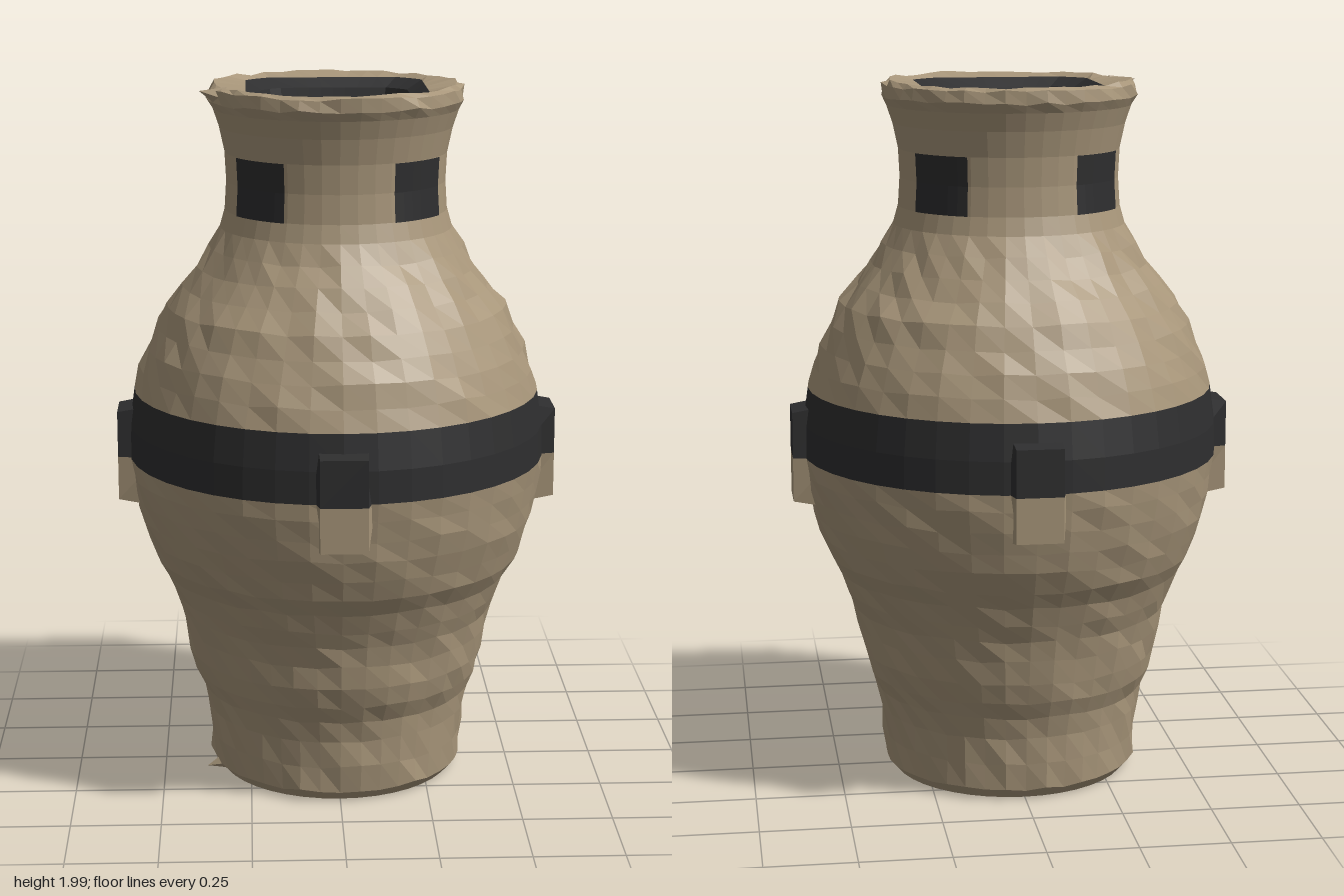
import * as THREE from 'three';

const SEG = 40;

export function createModel() {
  const clay = new THREE.MeshStandardMaterial({ color: 0xa8967a });
  clay.name = 'clay';
  const dark = new THREE.MeshStandardMaterial({ color: 0x2e2e2f });
  dark.name = 'darkGlaze';
  const vase = new THREE.Group();
  vase.name = 'vase';

  const add = (name, geometry, material, parent = vase) => {
    const flat = geometry.index ? geometry.toNonIndexed() : geometry;
    flat.computeVertexNormals(); // faceted look
    const mesh = new THREE.Mesh(flat, material);
    mesh.name = name;
    parent.add(mesh);
    return mesh;
  };

  // Repeatable uneven surface, from -1 to 1
  const noise = (a, b) => {
    const s = Math.sin(a * 12.99 + b * 78.23) * 43758.55;
    return (s - Math.floor(s)) * 2 - 1;
  };

  // Turned section from [radius, height, squareness]; inner rows are worn by the noise
  const turned = (rows, wear = 0) => {
    const g = new THREE.LatheGeometry(rows.map(([r, y]) => new THREE.Vector2(r, y)), SEG);
    const p = g.attributes.position;
    for (let i = 0; i <= SEG; i++) {
      const a = (i % SEG) * Math.PI * 2 / SEG;
      const c = Math.abs(Math.cos(a)), s = Math.abs(Math.sin(a));
      const square = Math.min(1 / Math.max(c, s), 1.24);
      rows.forEach(([r, y, sq = 0], j) => {
        const worn = j > 0 && j < rows.length - 1 ? wear * noise(i % SEG, j) : 0;
        const radius = r * (1 + sq * (square - 1)) + worn;
        p.setXYZ(i * rows.length + j, radius * Math.sin(a), y + worn * 0.9, radius * Math.cos(a));
      });
    }
    return g;
  };

  // Lower body with flat base
  add('base', turned([[0, 0.005], [0.335, 0.005]]), clay);
  add('lowerBody', turned([
    [0.335, 0.005], [0.362, 0.035], [0.366, 0.11], [0.373, 0.19], [0.383, 0.25], [0.405, 0.3],
    [0.422, 0.36], [0.433, 0.43], [0.446, 0.49], [0.467, 0.54], [0.49, 0.6], [0.52, 0.65],
    [0.542, 0.71], [0.56, 0.77], [0.573, 0.83], [0.583, 0.89], [0.588, 0.94]], 0.007), clay);

  // Dark band around the belly
  add('bellyBand', turned([[0.588, 0.94], [0.586, 1.03], [0.572, 1.13]]), dark);

  // Shoulder and neck
  add('shoulder', turned([
    [0.572, 1.13], [0.555, 1.19], [0.533, 1.25], [0.505, 1.31], [0.475, 1.37],
    [0.43, 1.425], [0.39, 1.48], [0.355, 1.535], [0.325, 1.59]], 0.006), clay);
  const neckRows = [[0.325, 1.59], [0.311, 1.64], [0.306, 1.72], [0.31, 1.8], [0.325, 1.87], [0.342, 1.92]];
  add('neck', turned(neckRows), clay);

  // Chipped lip, closing in to a squarish mouth
  add('lip', turned([
    [0.342, 1.92], [0.356, 1.945], [0.352, 1.978], [0.335, 1.988], [0.25, 1.975, 1]], 0.006), clay);
  add('inside', turned([
    [0.25, 1.975, 1], [0.21, 1.95, 0.9], [0.195, 1.85, 0.9], [0.18, 1.6, 0.9],
    [0.16, 1.4, 0.9], [0, 1.4]]), dark);

  // Four painted patches on the diagonals of the neck
  const patch = [[0.316, 1.64], [0.311, 1.72], [0.315, 1.8]].map(([r, y]) => new THREE.Vector2(r, y));
  for (let k = 0; k < 4; k++) {
    add('neckPatch', new THREE.LatheGeometry(patch, 6, Math.PI / 4 + k * Math.PI / 2 - 0.29, 0.58), dark);
  }

  // Four lugs, dark where the band crosses them, tapered outwards
  const lugPart = (y0, y1, flareTop) => {
    const g = new THREE.BoxGeometry(2, y1 - y0, 0.11);
    g.translate(0, (y0 + y1) / 2, 0.565);
    const p = g.attributes.position;
    for (let i = 0; i < p.count; i++) {
      const outer = p.getZ(i) > 0.565;
      const atEnd = flareTop === (p.getY(i) > (y0 + y1) / 2);
      p.setX(i, p.getX(i) * (outer ? 0.064 : atEnd ? 0.068 : 0.09));
      if (!outer && atEnd) p.setY(i, p.getY(i) + (flareTop ? 0.02 : -0.02));
    }
    return g;
  };
  for (let k = 0; k < 4; k++) {
    const lug = new THREE.Group();
    lug.name = 'lug';
    lug.rotation.y = k * Math.PI / 2;
    add('lugTop', lugPart(0.94, 1.07, true), dark, lug);
    add('lugBottom', lugPart(0.815, 0.94, false), clay, lug);
    vase.add(lug);
  }

  // Small chipped spurs on the lip and foot
  for (const [y, tilt] of [[1.968, 1.3], [0.03, 1.85]]) {
    const spur = add('spur', new THREE.ConeGeometry(0.03, 0.07, 4), clay);
    spur.position.set(-0.343, y, 0.11);
    spur.rotation.z = tilt;
  }
  return vase;
}
